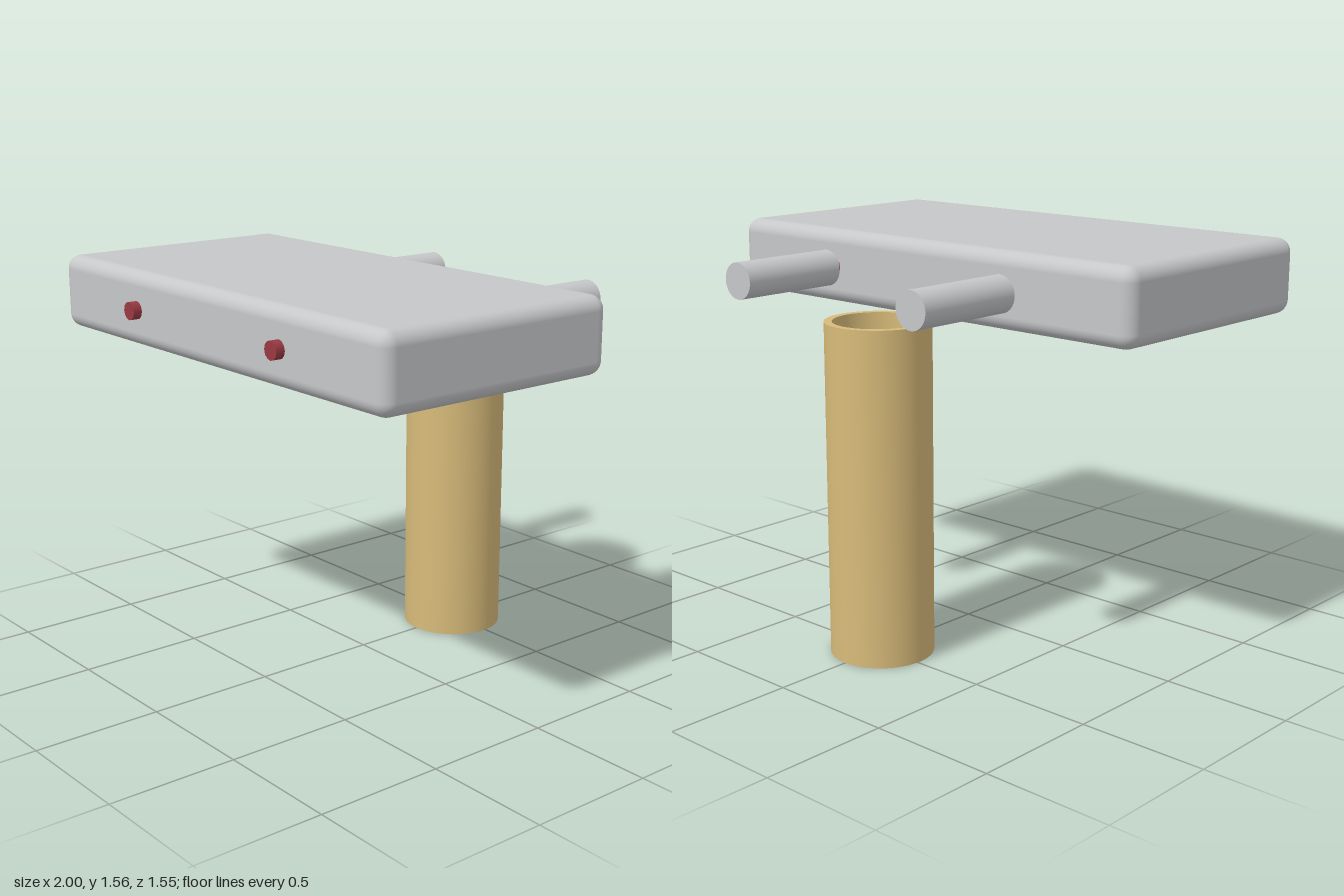
import * as THREE from 'three';
import { RoundedBoxGeometry } from 'three/addons/geometries/RoundedBoxGeometry.js';

function material(name, color) {
  const m = new THREE.MeshStandardMaterial({ color });
  m.name = name;
  return m;
}

export function createModel() {
  const model = new THREE.Group();
  const grey = material('lightGrey', 0xc6c7c9);
  const red = material('darkRed', 0x9a3a42);
  const tan = material('tan', 0xd8bb7a);

  const add = (name, geometry, mat, x, y, z) => {
    const mesh = new THREE.Mesh(geometry, mat);
    mesh.name = name;
    mesh.position.set(x, y, z);
    model.add(mesh);
  };

  // cylinder lying along z between two depths
  const rod = (name, radius, z0, z1, sides, mat, x) => {
    const geometry = new THREE.CylinderGeometry(radius, radius, z1 - z0, sides);
    geometry.rotateX(Math.PI / 2);
    add(name, geometry, mat, x, 1.42, (z0 + z1) / 2);
  };

  // rounded slab
  add('slab', new RoundedBoxGeometry(2, 0.29, 1.03, 5, 0.055), grey, 0, 1.42, 0.225);

  // a through rod and a rear handle on each side
  for (const [side, x] of [['left', 0.45], ['right', -0.45]]) {
    rod(side + 'Rod', 0.035, -0.4, 0.775, 12, red, x);
    rod(side + 'Handle', 0.07, -0.775, -0.325, 32, grey, x);
  }

  // hollow post, closed at the bottom and open at the top
  const H = 1.29, R = 0.2, inner = 0.17, floor = 0.03;
  const z = -0.49;
  add('postOuterWall', new THREE.CylinderGeometry(R, R, H, 48, 1, true), tan, 0, H / 2, z);
  const bore = new THREE.CylinderGeometry(inner, inner, H - floor, 48, 1, true);
  bore.scale(-1, 1, 1); // mirrored so the wall faces inwards
  const normals = bore.attributes.normal;
  for (let i = 0; i < normals.count; i++) {
    const p = bore.attributes.position;
    normals.setXYZ(i, -p.getX(i) / inner, 0, -p.getZ(i) / inner);
  }
  add('postInnerWall', bore, tan, 0, (H + floor) / 2, z);
  add('postRim', new THREE.RingGeometry(inner, R, 48).rotateX(-Math.PI / 2), tan, 0, H, z);
  add('postFloor', new THREE.CircleGeometry(inner, 48).rotateX(-Math.PI / 2), tan, 0, floor, z);
  add('postBase', new THREE.CircleGeometry(R, 48).rotateX(Math.PI / 2), tan, 0, 0, z);

  return model;
}
